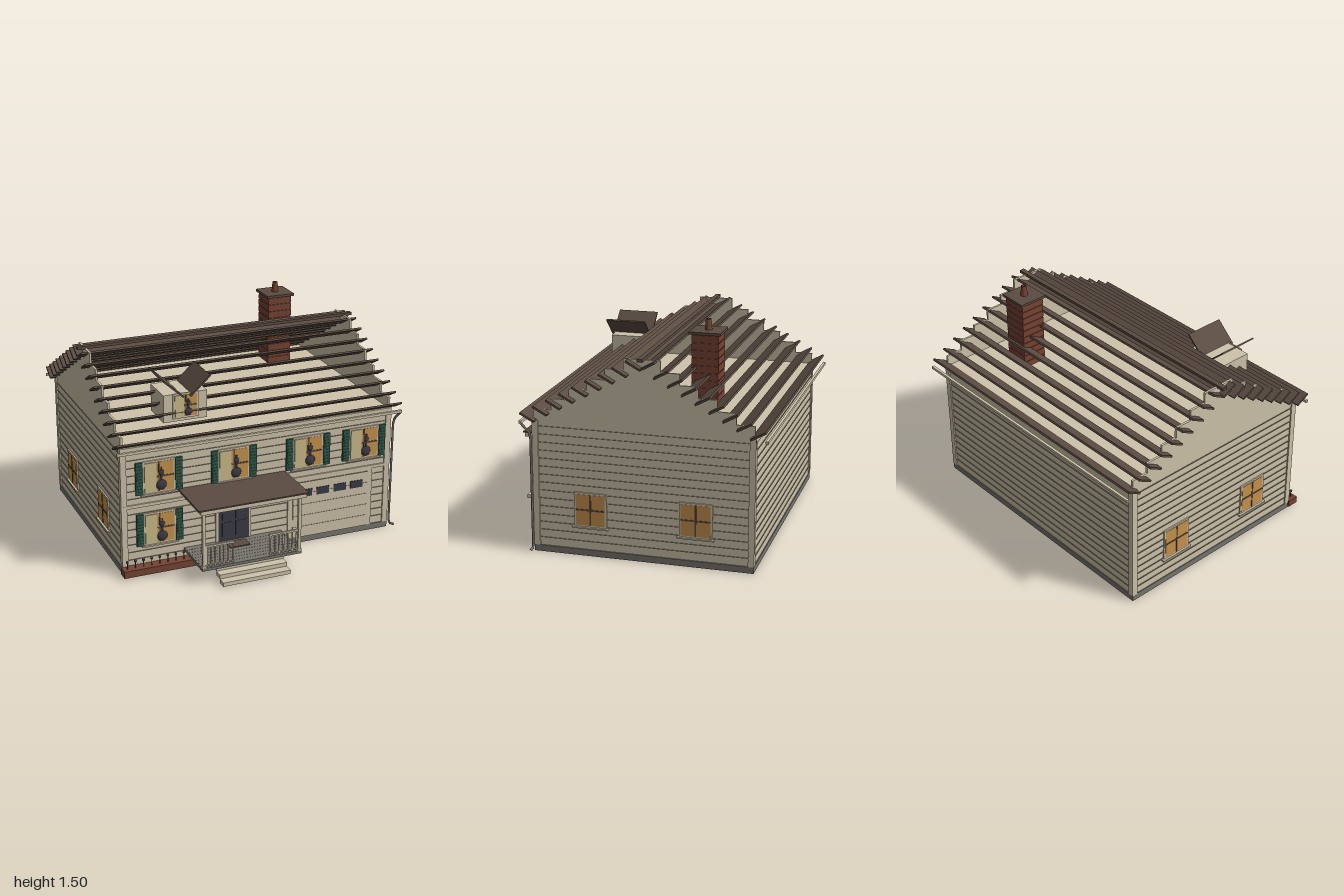
import * as THREE from 'three';

const mat = (name, color) => Object.assign(new THREE.MeshStandardMaterial({ color }), { name });
const M = {
  cream: mat('cream siding', 0xcfc4ab),
  lap: mat('siding lap', 0x857d6c),
  roof: mat('roof brown', 0x5b4c42),
  brick: mat('brick red', 0x774434),
  stone: mat('stone grey', 0x78756f),
  glow: mat('amber glass', 0xc7934d),
  curtain: mat('curtain tan', 0xcdbd8c),
  green: mat('shutter green', 0x31594a),
  navy: mat('door navy', 0x3b3b47),
};

// House bounds
const X0 = -0.95, X1 = 0.938, Z0 = -0.87, Z1 = 0.555, EAVE = 0.875;
const CX = (X0 + X1) / 2, W = X1 - X0, RIDGE = (Z0 + Z1) / 2, D = Z1 - Z0;

function add(parent, name, geo, material, x = 0, y = 0, z = 0) {
  const mesh = new THREE.Mesh(geo, material);
  mesh.name = name;
  mesh.position.set(x, y, z);
  parent.add(mesh);
  return mesh;
}

// Box given by its minimum and maximum on each axis
function box(parent, name, material, x0, x1, y0, y1, z0, z1) {
  return add(parent, name, new THREE.BoxGeometry(x1 - x0, y1 - y0, z1 - z0), material,
    (x0 + x1) / 2, (y0 + y1) / 2, (z0 + z1) / 2);
}

function group(parent, name, x = 0, y = 0, z = 0) {
  const g = new THREE.Group();
  g.name = name;
  g.position.set(x, y, z);
  parent.add(g);
  return g;
}

// Window facing +z, centred on its own origin
function makeWindow(parent, name, x, y, z, w, h, { shutters, ornament, sill = true } = {}) {
  const g = group(parent, name, x, y, z);
  const a = w / 2, b = h / 2;
  box(g, 'windowFrame', M.cream, -a - 0.012, a + 0.012, -b - 0.012, b + 0.012, 0, 0.009);
  box(g, 'windowGlass', M.glow, -a, a, -b, b, 0.006, 0.011);
  box(g, 'windowUpright', M.roof, -0.005, 0.005, -b, b, 0.009, 0.014);
  box(g, 'windowCrossbar', M.roof, -a, a, -0.005, 0.005, 0.009, 0.014);
  if (sill) box(g, 'windowSill', M.cream, -a - 0.025, a + 0.025, -b - 0.02, -b - 0.01, 0, 0.022);
  if (ornament) {
    const k = h / 0.2;
    box(g, 'curtain', M.curtain, -a, -a + w * 0.4, -b, b, 0.01, 0.016);
    const ball = (r, cy) => add(g, 'ornament', new THREE.SphereGeometry(r * k, 10, 8), M.navy, 0.015, cy * k, 0.012).scale.z = 0.4;
    ball(0.035, -0.06);
    ball(0.02, 0.024);
    box(g, 'ornamentStem', M.navy, 0.01, 0.02, -0.06 * k, 0.06 * k, 0.01, 0.017);
  }
  if (shutters) for (const s of [-1, 1]) {
    const cx = s * 0.133;
    box(g, 'shutter', M.green, cx - 0.024, cx + 0.024, -0.11, 0.11, 0, 0.016);
    for (let i = 0; i < 9; i++) box(g, 'shutterLouvre', M.green, cx - 0.018, cx + 0.018, -0.098 + i * 0.022, -0.088 + i * 0.022, 0.016, 0.02);
  }
  return g;
}

function addWalls(house) {
  const g = group(house, 'walls');
  box(g, 'foundation', M.stone, X0 - 0.006, X1 + 0.008, 0, 0.042, Z0 - 0.006, Z1 + 0.006);
  box(g, 'wallBody', M.cream, X0, X1, 0.042, EAVE, Z0, Z1);
  // Thin laps between the clapboards
  for (let y = 0.095; y < 0.86; y += 0.053)
    box(g, 'sidingLap', M.lap, X0 - 0.006, X1 + 0.006, y, y + 0.003, Z0 - 0.006, Z1 + 0.006);
  for (const x of [X0, X1 - 0.022]) for (const z of [Z0, Z1 - 0.022])
    box(g, 'cornerBoard', M.cream, x - 0.009, x + 0.031, 0.042, EAVE, z - 0.009, z + 0.031);
  box(g, 'frontFrieze', M.cream, X0, X1, 0.845, EAVE, Z1, Z1 + 0.01);
  box(g, 'backFrieze', M.cream, X0, X1, 0.845, EAVE, Z0 - 0.01, Z0);
  box(g, 'frontBand', M.cream, X0, X1, 0.458, 0.48, Z1, Z1 + 0.01);
  // Stepped gables
  const steps = 6, rise = 0.0732, half = D / 2;
  const shape = new THREE.Shape();
  shape.moveTo(half, 0);
  for (let i = 0; i < steps; i++) {
    const w = half * (1 - i / steps);
    shape.lineTo(w, i * rise);
    shape.lineTo(w, (i + 1) * rise);
  }
  for (let i = steps - 1; i >= 0; i--) {
    const w = half * (1 - i / steps);
    shape.lineTo(-w, (i + 1) * rise);
    shape.lineTo(-w, i * rise);
  }
  const gable = new THREE.ExtrudeGeometry(shape, { depth: 0.015, bevelEnabled: false });
  gable.rotateY(Math.PI / 2);
  for (const x of [X0, X1 - 0.015]) add(g, 'gable', gable, M.cream, x, EAVE, RIDGE);
}

function addRoof(house) {
  const g = group(house, 'roof');
  // Open slats, each tipped up at its outer edge
  const geo = new THREE.BoxGeometry(1.985, 0.013, 0.106);
  for (const s of [-1, 1]) for (let k = 0; k < 9; k++) {
    const slat = add(g, 'roofSlat', geo, M.roof, -0.006, 1.283 - k * 0.0478, RIDGE + s * (0.046 + k * 0.0868));
    slat.rotation.x = -s * 0.5;
  }
  box(g, 'ridgeCap', M.roof, -0.999, 0.987, 1.308, 1.328, RIDGE - 0.017, RIDGE + 0.017);
  for (const z of [0.627, -0.952]) box(g, 'gutter', M.cream, -0.999, 0.987, 0.858, 0.876, z - 0.009, z + 0.009);
  const path = new THREE.CurvePath();
  const pts = [[0.978, 0.86, 0.627], [0.966, 0.8, 0.575], [0.96, 0.76, 0.568], [0.957, 0.06, 0.568], [0.965, 0.025, 0.568], [0.994, 0.013, 0.575]]
    .map(p => new THREE.Vector3(...p));
  for (let i = 1; i < pts.length; i++) path.add(new THREE.LineCurve3(pts[i - 1], pts[i]));
  add(g, 'downspout', new THREE.TubeGeometry(path, 60, 0.008, 6), M.stone);
}

function addDormer(house) {
  const g = group(house, 'dormer', -0.472, 0, 0);
  box(g, 'dormerBody', M.cream, -0.148, 0.148, 0.955, 1.14, 0.2, 0.44);
  makeWindow(g, 'dormerWindow', 0, 1.06, 0.44, 0.15, 0.145, { ornament: true, sill: false });
  for (const s of [-1, 1]) {
    const p = add(g, 'dormerRoof', new THREE.BoxGeometry(0.185, 0.011, 0.28), M.roof, s * 0.091, 1.187, 0.335);
    p.rotation.z = s * 0.74;
  }
}

function addChimney(house) {
  const g = group(house, 'chimney', 0.553, 0, -0.477);
  for (let i = 0; i < 10; i++) {
    const y = 0.94 + i * 0.048;
    box(g, 'brickCourse', M.brick, -0.086, 0.086, y, y + 0.042, -0.086, 0.086);
    box(g, 'mortarCourse', M.brick, -0.08, 0.08, y + 0.042, y + 0.048, -0.08, 0.08);
  }
  box(g, 'chimneyCap', M.roof, -0.101, 0.101, 1.42, 1.437, -0.101, 0.101);
  const pot = [[0.024, 0], [0.018, 0.068], [0.012, 0.068], [0.012, 0.002]].map(p => new THREE.Vector2(...p));
  add(g, 'chimneyPot', new THREE.LatheGeometry(pot, 14), M.brick, 0, 1.437, 0);
}

function addPorch(house) {
  const g = group(house, 'porch');
  box(g, 'porchDeck', M.stone, -0.535, 0.153, 0.095, 0.115, Z1, 0.88);
  for (let i = 1; i < 8; i++) box(g, 'deckBoardSeam', M.lap, -0.533, 0.151, 0.115, 0.116, Z1 + i * 0.04, Z1 + i * 0.04 + 0.004);
  box(g, 'doorMat', M.roof, -0.26, -0.12, 0.115, 0.121, 0.59, 0.68);
  box(g, 'porchFascia', M.cream, -0.555, 0.168, 0.503, 0.532, Z1, 0.915);
  box(g, 'porchRoof', M.roof, -0.572, 0.177, 0.532, 0.541, Z1, 0.926);
  for (const x of [-0.52, 0.14]) {
    box(g, 'porchPost', M.cream, x - 0.01, x + 0.01, 0.115, 0.505, 0.857, 0.877);
    for (const y of [0.115, 0.488]) box(g, 'postBlock', M.cream, x - 0.014, x + 0.014, y, y + 0.015, 0.853, 0.88);
  }
  for (const [a, b] of [[-0.51, -0.315], [-0.07, 0.13]]) {
    box(g, 'handrail', M.cream, a, b, 0.255, 0.267, 0.861, 0.873);
    box(g, 'lowerRail', M.cream, a, b, 0.125, 0.132, 0.862, 0.872);
    for (let i = 0; i < 7; i++) {
      const x = a + 0.008 + (b - a - 0.016) * i / 6;
      box(g, 'baluster', M.cream, x - 0.004, x + 0.004, 0.115, 0.257, 0.863, 0.871);
    }
  }
  for (let i = 0; i < 3; i++)
    box(g, 'porchStep', M.cream, -0.425, 0.042, 0.005 + i * 0.028, 0.032 + i * 0.028, 0.9 - i * 0.058, 0.96 - i * 0.058);
}

function addEntries(house) {
  const door = group(house, 'frontDoor', -0.192, 0, Z1);
  box(door, 'doorFrame', M.cream, -0.125, 0.125, 0.115, 0.505, 0, 0.01);
  box(door, 'doorLeaf', M.navy, -0.107, 0.107, 0.118, 0.456, 0.008, 0.015);
  box(door, 'transom', M.navy, -0.107, 0.107, 0.48, 0.496, 0.008, 0.014);
  for (const x of [-0.048, 0.048]) for (const y of [0.15, 0.27])
    box(door, 'doorPanel', M.navy, x - 0.035, x + 0.035, y, y + 0.1, 0.015, 0.018);
  add(door, 'doorKnob', new THREE.SphereGeometry(0.007, 8, 6), M.glow, 0.088, 0.27, 0.02);
  add(door, 'wreath', new THREE.TorusGeometry(0.032, 0.011, 8, 20), M.green, 0, 0.44, 0.022);
  add(door, 'doorbell', new THREE.SphereGeometry(0.007, 8, 6), M.navy, 0.173, 0.42, 0.006);

  const garage = group(house, 'garageDoor', 0.507, 0, Z1);
  box(garage, 'garageFrame', M.cream, -0.31, 0.31, 0.042, 0.46, 0, 0.01);
  for (let i = 0; i < 5; i++) {
    box(garage, 'garagePanel', M.cream, -0.275, 0.275, 0.044 + i * 0.08, 0.12 + i * 0.08, 0.008, 0.016);
    box(garage, 'garageSeam', M.lap, -0.275, 0.275, 0.12 + i * 0.08, 0.123 + i * 0.08, 0.008, 0.016);
  }
  for (let i = 0; i < 4; i++) {
    const x = -0.184 + i * 0.125;
    box(garage, 'garageWindow', M.navy, x - 0.046, x + 0.046, 0.338, 0.39, 0.014, 0.02);
  }
}

function addFlowerBed(house) {
  const g = group(house, 'flowerBed');
  box(g, 'planter', M.brick, -0.97, -0.422, 0.01, 0.057, Z1, 0.632);
  for (let i = 0; i < 9; i++) {
    const x = -0.94 + i * 0.055;
    add(g, 'flowerStem', new THREE.CylinderGeometry(0.003, 0.003, 0.055, 5), M.green, x, 0.08, 0.6);
    add(g, 'flowerHead', new THREE.SphereGeometry(0.01, 8, 6), M.navy, x, 0.107, 0.6);
  }
}

export function createModel() {
  const house = new THREE.Group();
  house.name = 'house';
  addWalls(house);
  addRoof(house);
  addDormer(house);
  addChimney(house);
  addPorch(house);
  addEntries(house);
  addFlowerBed(house);
  const front = { shutters: true, ornament: true };
  for (const x of [-0.703, -0.19, 0.337, 0.746]) makeWindow(house, 'upperWindow', x, 0.655, Z1 + 0.002, 0.198, 0.2, front);
  makeWindow(house, 'lowerWindow', -0.703, 0.297, Z1 + 0.002, 0.198, 0.2, front);
  // Two plain windows on each side wall
  for (const z of [0.182, -0.505]) {
    makeWindow(house, 'leftWindow', X1 + 0.002, 0.31, z, 0.19, 0.205).rotation.y = Math.PI / 2;
    makeWindow(house, 'rightWindow', X0 - 0.002, 0.31, z, 0.19, 0.205).rotation.y = -Math.PI / 2;
  }
  return house;
}
